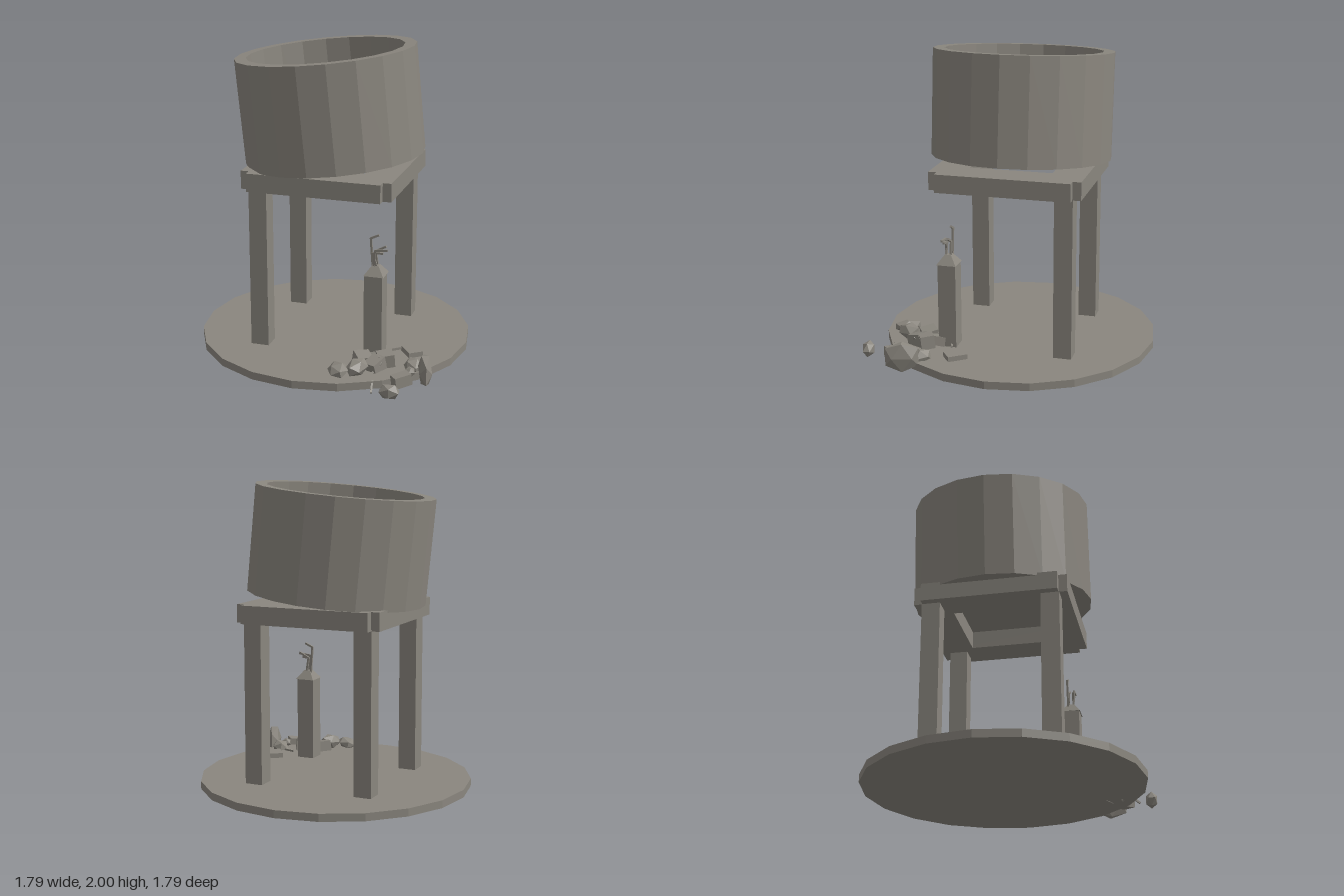
import * as THREE from 'three';

export function createModel() {
  const model = new THREE.Group();
  const concrete = new THREE.MeshStandardMaterial({ color: 0x8a867e, flatShading: true });
  concrete.name = 'weathered concrete';

  const add = (name, geometry, [x, y, z], [rx, ry, rz] = [0, 0, 0], parent = model) => {
    const mesh = new THREE.Mesh(geometry, concrete);
    mesh.name = name;
    mesh.position.set(x, y, z);
    mesh.rotation.set(rx, ry, rz);
    parent.add(mesh);
    return mesh;
  };
  const box = (w, h, d) => new THREE.BoxGeometry(w, h, d);

  // Thin square bar through a list of points
  const bar = (name, points, width, parent) => {
    for (let i = 1; i < points.length; i++) {
      const a = new THREE.Vector3(...points[i - 1]);
      const b = new THREE.Vector3(...points[i]);
      const mesh = add(name, box(width, a.distanceTo(b) + width * 0.5, width), [0, 0, 0], [0, 0, 0], parent);
      mesh.position.copy(a).add(b).multiplyScalar(0.5);
      mesh.quaternion.setFromUnitVectors(new THREE.Vector3(0, 1, 0), b.sub(a).normalize());
    }
  };

  // Round foundation slab
  const cz = -0.006;
  add('foundation', new THREE.CylinderGeometry(0.893, 0.893, 0.05, 20), [0, 0.04, cz]);

  // Three whole legs and one broken stump
  for (const sx of [-1, 1]) {
    for (const sz of [-1, 1]) {
      const broken = sx > 0 && sz > 0;
      const top = broken ? 0.62 : 1.12;
      add(broken ? 'brokenLeg' : 'leg', box(0.118, top - 0.06, 0.118),
        [sx * 0.38, (top + 0.06) / 2, sz * 0.38 + cz]);
    }
  }

  // Square ring of beams with notched corners
  for (const s of [-1, 1]) {
    add('crossBeam', box(0.87, 0.118, 0.22), [0, 1.171, s * 0.38 + cz]);
    add('sideBeam', box(0.22, 0.118, 0.87), [s * 0.38, 1.171, cz]);
  }

  // Open tank, tipped sideways
  const profile = [[0, -0.342], [0.583, -0.342], [0.583, 0.342], [0.508, 0.342], [0.508, -0.31], [0, -0.31]];
  const tank = new THREE.LatheGeometry(profile.map(([r, y]) => new THREE.Vector2(r, y)), 20);
  add('tank', tank, [-0.037, 1.602, cz], [0, 0, 0.099]);

  // Crumbled tip and bent rods on the stump
  const stumpTop = new THREE.Group();
  stumpTop.name = 'stumpTop';
  model.add(stumpTop);
  const tip = new THREE.CylinderGeometry(0.03, 0.092, 0.06, 4);
  tip.rotateY(Math.PI / 4);
  add('crumbledTip', tip, [0.383, 0.65, 0.374], [0, 0, 0], stumpTop);
  const rods = [
    [[0.358, 0.65, 0.358], [0.343, 0.845, 0.356], [0.392, 0.868, 0.354]],
    [[0.372, 0.66, 0.39], [0.382, 0.78, 0.394], [0.458, 0.788, 0.394]],
    [[0.39, 0.66, 0.358], [0.375, 0.765, 0.36], [0.44, 0.8, 0.36]],
    [[0.4, 0.64, 0.388], [0.365, 0.76, 0.39], [0.43, 0.765, 0.39]],
  ];
  for (const rod of rods) bar('bentRod', rod, 0.013, stumpTop);

  // Rubble at the foot of the stump
  const rubble = new THREE.Group();
  rubble.name = 'rubble';
  model.add(rubble);
  // position, radii, rotation
  const boulders = [
    [[0.757, 0.104, 0.572], [0.047, 0.11, 0.122], [0, 0.3, 0]],
    [[0.66, 0.075, 0.48], [0.062, 0.055, 0.075], [0.2, 0.5, 0.1]],
    [[0.665, 0.085, 0.585], [0.034, 0.034, 0.034], [0.4, 0.2, 0.3]],
    [[0.24, 0.098, 0.715], [0.067, 0.04, 0.098], [0, 0.5, 0.2]],
    [[0.348, 0.108, 0.665], [0.062, 0.055, 0.09], [0.1, -0.35, 0]],
    [[0.605, 0.067, 0.855], [0.07, 0.054, 0.042], [0, 0.1, 0]],
  ];
  for (const [p, s, r] of boulders) {
    const g = new THREE.IcosahedronGeometry(1, 0);
    g.scale(...s);
    add('boulder', g, p, r, rubble);
  }
  // position, size, rotation
  const blocks = [
    [[0.598, 0.075, 0.27], [0.095, 0.045, 0.13], [0, 0.65, 0]],
    [[0.635, 0.07, 0.68], [0.075, 0.07, 0.11], [0.2, -0.85, 0.2]],
    [[0.485, 0.11, 0.5], [0.1, 0.085, 0.09], [0.1, 0.5, 0.05]],
    [[0.44, 0.08, 0.57], [0.09, 0.11, 0.11], [0.3, -0.4, 0.15]],
    [[0.345, 0.105, 0.53], [0.1, 0.07, 0.1], [0.2, 0.6, -0.2]],
    [[0.4, 0.09, 0.45], [0.12, 0.06, 0.1], [-0.15, 0.2, 0.25]],
  ];
  for (const [p, s, r] of blocks) add('brokenBlock', box(...s), p, r, rubble);
  // Loose rods among the rubble
  bar('looseRod', [[0.485, 0.1, 0.33], [0.535, 0.11, 0.315]], 0.014, rubble);
  bar('looseRod', [[0.4, 0.012, 0.69], [0.48, 0.12, 0.58]], 0.014, rubble);
  bar('looseRod', [[0.465, 0.06, 0.73], [0.475, 0.012, 0.79]], 0.012, rubble);

  return model;
}
